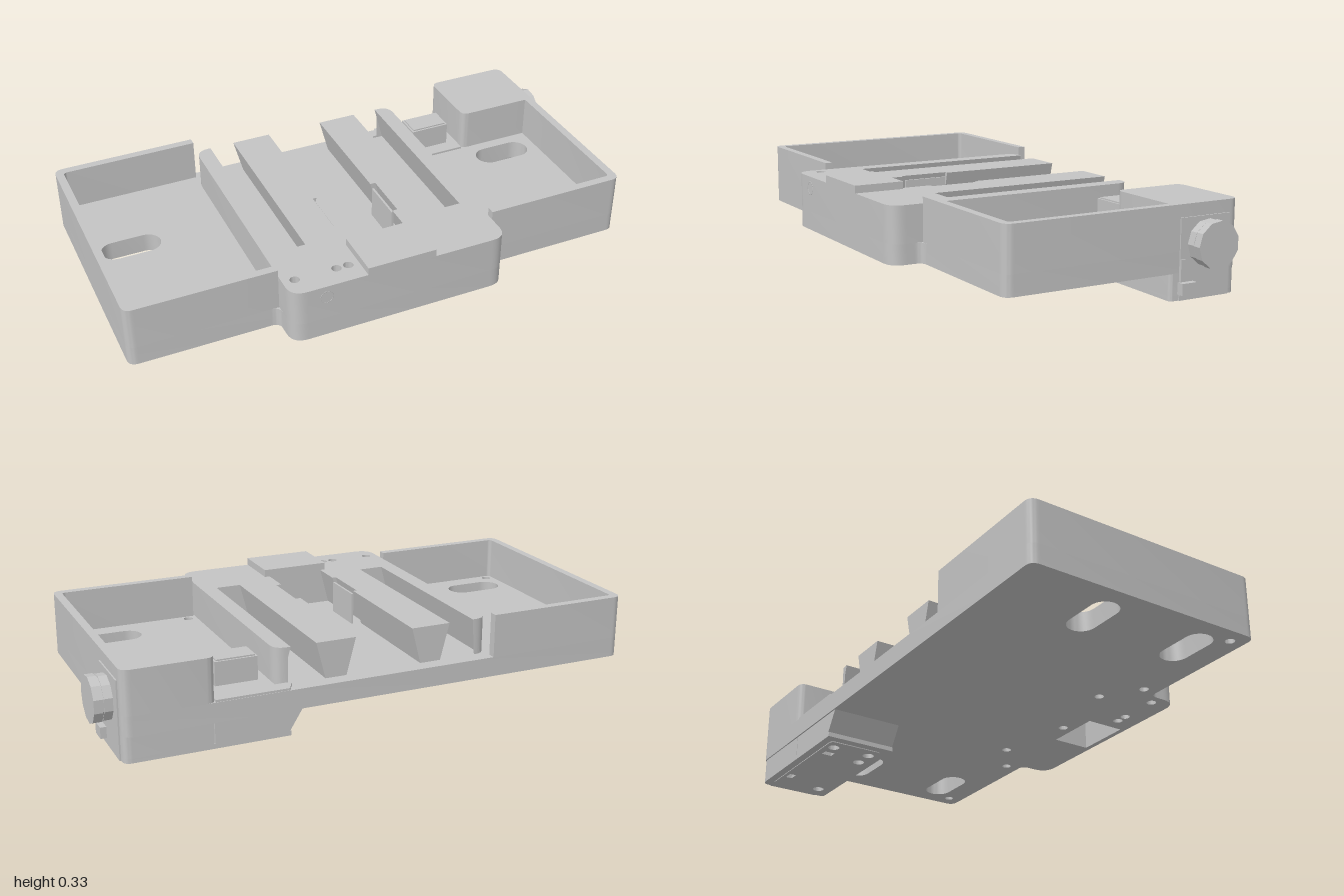
import * as THREE from 'three';
import { toCreasedNormals } from 'three/addons/utils/BufferGeometryUtils.js';

const grey = new THREE.MeshStandardMaterial({ color: 0xc4c4c4 });
grey.name = 'plain grey';

// Closed outline from [x, z, cornerRadius] points
function trace(path, pts) {
  const n = pts.length;
  pts.forEach((p, i) => {
    const c = new THREE.Vector2(p[0], -p[1]);
    const toward = (q) => {
      const d = new THREE.Vector2(q[0], -q[1]).sub(c).normalize();
      return c.clone().addScaledVector(d, p[2] || 0);
    };
    const a = toward(pts[(i + n - 1) % n]);
    const b = toward(pts[(i + 1) % n]);
    if (i === 0) path.moveTo(a.x, a.y); else path.lineTo(a.x, a.y);
    if (p[2]) path.quadraticCurveTo(c.x, c.y, b.x, b.y);
  });
  path.closePath();
  return path;
}

const rect = (x0, x1, z0, z1, r = 0) => [[x0, z0, r], [x1, z0, r], [x1, z1, r], [x0, z1, r]];

// Holes run the opposite way round to outlines
const rectHole = (...size) => trace(new THREE.Path(), rect(...size).reverse());

function roundHole(x, z, r = 0.018) {
  const p = new THREE.Path();
  p.absarc(x, -z, r, 0, Math.PI * 2, false);
  return p;
}

function slotHole(x0, x1, z, r) {
  const p = new THREE.Path();
  p.absarc(x1 - r, -z, r, -Math.PI / 2, Math.PI / 2, false);
  p.absarc(x0 + r, -z, r, Math.PI / 2, Math.PI * 1.5, false);
  p.closePath();
  return p;
}

export function createModel() {
  const model = new THREE.Group();
  model.name = 'slidingTrayBase';

  const add = (name, geometry) => {
    const mesh = new THREE.Mesh(geometry, grey);
    mesh.name = name;
    model.add(mesh);
    return mesh;
  };
  const extrude = (pts, y0, y1, holes = []) => {
    const shape = trace(new THREE.Shape(), pts);
    shape.holes.push(...holes);
    const g = new THREE.ExtrudeGeometry(shape, { depth: y1 - y0, bevelEnabled: false, curveSegments: 8 });
    return g.rotateX(-Math.PI / 2).translate(0, y0, 0);
  };
  const slab = (name, ...args) => add(name, toCreasedNormals(extrude(...args), 0.5));
  const box = (name, x0, x1, y0, y1, z0, z1) => {
    const g = new THREE.BoxGeometry(x1 - x0, y1 - y0, z1 - z0);
    return add(name, g.translate((x0 + x1) / 2, (y0 + y1) / 2, (z0 + z1) / 2));
  };

  const floorY = 0.17;
  const pocket = () => rectHole(-0.15, 0.07, 0.35, 0.5);
  const frontHoles = () => [-0.41, -0.255, -0.21].map((x) => roundHole(x, 0.44));

  // Floor plate with mounting slots, screw holes and a back shelf
  const slots = [-0.15, 0.25].flatMap((z) => [slotHole(-0.935, -0.71, z, 0.052), slotHole(0.63, 0.855, z, 0.052)]);
  const screws = [-0.94, -0.485, 0.41, 0.865].map((x) => roundHole(x, 0.343));
  const channelScrews = [[-0.04, 0.305], [-0.345, 0.245], [0.265, 0.245]].map(([x, z]) => roundHole(x, z));
  slab('floorPlate', [
    [-1, -0.52, 0.035], [0.925, -0.52, 0.035], [0.925, 0.4, 0.035], [0.375, 0.4, 0.03],
    [0.375, 0.52, 0.06], [-0.455, 0.52, 0.06], [-0.455, 0.4, 0.03], [-1, 0.4, 0.035],
  ], 0.097, floorY, [...slots, ...screws, ...channelScrews, ...frontHoles(), pocket()]);

  // Raised guide rails, with channels open at the back
  const rails = extrude([
    [-0.455, -0.465, 0.05], [-0.395, -0.465], [-0.395, 0.27], [-0.3, 0.27], [-0.3, -0.465],
    [-0.15, -0.465], [-0.15, 0.02], [-0.165, 0.02], [-0.165, 0.21], [-0.15, 0.21], [-0.15, 0.33],
    [0.07, 0.33], [0.07, 0.21], [0.09, 0.21], [0.09, 0.02], [0.07, 0.02], [0.07, -0.465],
    [0.22, -0.465], [0.22, 0.27], [0.315, 0.27], [0.315, -0.465],
    [0.375, -0.465, 0.05], [0.375, 0.52, 0.06], [-0.455, 0.52, 0.06],
  ], floorY, 0.305, [...frontHoles(), pocket()]);
  // Widen the foot of each channel into a dovetail
  const pos = rails.attributes.position;
  const channels = [[-0.395, -0.3], [-0.165, 0.09], [0.22, 0.315]];
  for (let i = 0; i < pos.count; i++) {
    const x = pos.getX(i);
    if (pos.getY(i) > floorY + 0.01 || pos.getZ(i) > 0.34) continue;
    for (const [a, b] of channels) {
      if (x > a - 0.001 && x < b + 0.001) pos.setX(i, x + (x < (a + b) / 2 ? -0.035 : 0.035));
    }
  }
  add('guideRails', toCreasedNormals(rails, 0.5));
  box('frontBlock', -0.17, 0.09, 0.305, 0.333, 0.33, 0.52);

  // Thin spring tabs at the sides of the middle channel
  for (const x of [-0.152, 0.076]) box('springTab', x - 0.004, x + 0.004, floorY, 0.29, 0.03, 0.2);

  // Side trays
  slab('leftTrayWall', [
    [-0.455, -0.52], [-0.455, -0.49], [-0.97, -0.49, 0.015], [-0.97, 0.37, 0.015],
    [-0.455, 0.37], [-0.455, 0.4], [-1, 0.4, 0.035], [-1, -0.52, 0.035],
  ], floorY, 0.33);
  slab('rightTrayWall', [
    [0.38, 0.4], [0.925, 0.4, 0.035], [0.925, -0.25], [0.895, -0.25], [0.895, 0.37, 0.015], [0.38, 0.37],
  ], floorY, 0.33);

  // Mechanism housing behind the right tray
  slab('housing', [[0.605, -0.52, 0.03], [0.925, -0.52, 0.035], [0.925, -0.245], [0.605, -0.245, 0.03]], floorY, 0.33);
  slab('housingShelf', [[0.34, -0.518], [0.605, -0.518], [0.605, -0.245], [0.375, -0.245], [0.375, -0.465], [0.31, -0.465]],
    floorY, 0.178);
  slab('sensorBlock', rect(0.41, 0.565, -0.4, -0.3), floorY, 0.265);
  slab('sensorCap', rect(0.417, 0.558, -0.393, -0.307), 0.265, 0.27);

  // Lower housing in two pieces, with a slanted inner end
  const wedge = trace(new THREE.Shape(), [[0.34, -0.02], [0.29, -0.1], [0.61, -0.1], [0.61, -0.02]]);
  const wedgeGeo = new THREE.ExtrudeGeometry(wedge, { depth: 0.275, bevelEnabled: false });
  add('lowerHousingWedge', wedgeGeo.translate(0, 0, -0.515));
  slab('lowerHousing', [[0.613, -0.515], [0.925, -0.515, 0.03], [0.925, -0.24, 0.015], [0.613, -0.24]], 0.02, 0.1);
  const coverHoles = () => [
    ...[[0.42, -0.3], [0.42, -0.45], [0.5, -0.3], [0.85, -0.3]].map(([x, z]) => roundHole(x, z, 0.022)),
    rectHole(0.47, 0.5, -0.46, -0.42), rectHole(0.76, 0.8, -0.47, -0.445),
  ];
  slab('lowerCover', [[0.335, -0.515], [0.925, -0.515, 0.03], [0.925, -0.24, 0.015], [0.335, -0.24]],
    0.003, 0.02, coverHoles());
  slab('coverPanel', rect(0.37, 0.89, -0.485, -0.27, 0.02), 0, 0.003, coverHoles());

  // Side plate, knob and latch
  box('sidePlate', 0.92, 0.93, 0.003, 0.285, -0.48, -0.275);
  for (const [name, x0, x1, r] of [
    ['knobShaft', 0.925, 0.94, 0.06], ['knobInnerRing', 0.935, 0.965, 0.08],
    ['knobGroove', 0.965, 0.97, 0.077], ['knobGrip', 0.97, 1, 0.083],
  ]) {
    const g = new THREE.CylinderGeometry(r, r, x1 - x0, 11).toNonIndexed();
    g.computeVertexNormals();
    add(name, g.rotateZ(-Math.PI / 2).translate((x0 + x1) / 2, 0.195, -0.38));
  }
  box('latchTab', 0.925, 0.952, 0.025, 0.066, -0.33, -0.27);
  box('latchSlider', 0.925, 0.936, 0.07, 0.145, -0.295, -0.275);

  // Rim of the port on the front face
  add('frontPortRim', new THREE.TorusGeometry(0.024, 0.002, 6, 24).translate(-0.325, 0.26, 0.519));

  return model;
}
